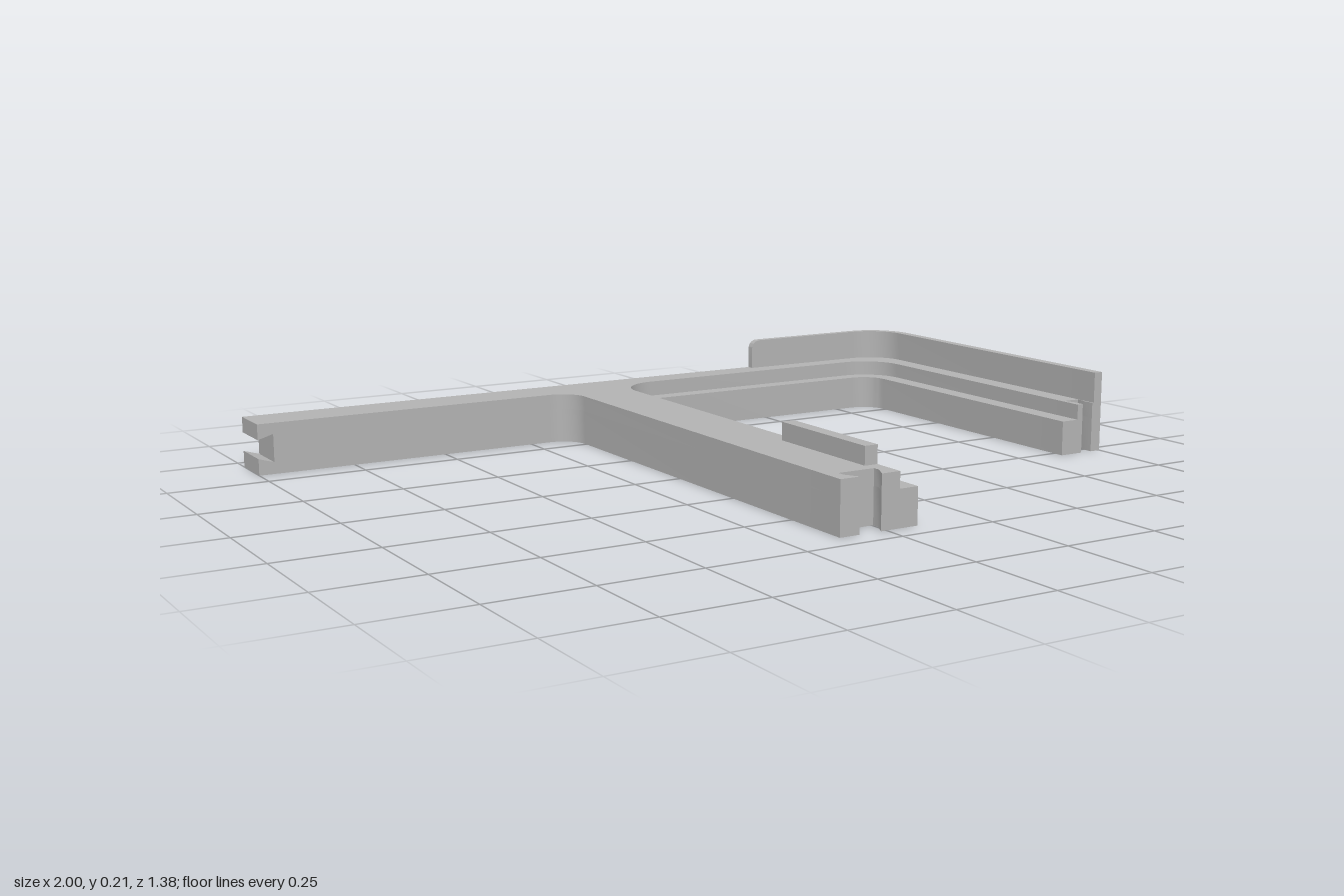
import * as THREE from 'three';
import { toCreasedNormals } from 'three/addons/utils/BufferGeometryUtils.js';

// Closed outline from [x, y, radius?] points; a radius rounds a right-angled corner.
function outline(points) {
  const n = points.length;
  const out = [];
  points.forEach(([x, y, r], i) => {
    const p = new THREE.Vector2(x, y);
    if (!r) return out.push(p);
    const [a, b] = [points[(i + n - 1) % n], points[(i + 1) % n]];
    const u = new THREE.Vector2(a[0] - x, a[1] - y).normalize();
    const v = new THREE.Vector2(b[0] - x, b[1] - y).normalize();
    for (let k = 0; k <= 10; k++) {
      const t = (k / 10) * Math.PI / 2;
      out.push(p.clone()
        .addScaledVector(u, r * (1 - Math.sin(t)))
        .addScaledVector(v, r * (1 - Math.cos(t))));
    }
  });
  return new THREE.Shape(out);
}

function extrude(shape, depth) {
  return new THREE.ExtrudeGeometry(shape, { depth, bevelEnabled: false, curveSegments: 16 });
}

// Plan points are [x, z, radius?], raised from y0 to y1.
function planLayer(points, y0, y1, hole) {
  const shape = outline(points.map(([x, z, r]) => [x, -z, r]));
  if (hole) shape.holes.push(hole);
  return toCreasedNormals(extrude(shape, y1 - y0).rotateX(-Math.PI / 2).translate(0, y0, 0), 0.5);
}

// Elevation points are [x, y, radius?], running from z0 to z1.
function elevation(points, z0, z1, hole) {
  const shape = outline(points);
  if (hole) shape.holes.push(hole);
  return toCreasedNormals(extrude(shape, z1 - z0).translate(0, 0, z0), 0.5);
}

// Plan of the frame; the opening edges change between the ledge and the top layer.
function framePlan(x1, x2, z, r) {
  return [
    [-0.95, -0.695],
    // recess for the nut plate
    [0.62, -0.695], [0.62, -0.645], [0.76, -0.645], [0.76, -0.695],
    [1, -0.695, 0.12], [1, 0.28],
    // short leg slot
    [0.97, 0.28], [0.97, 0.25], [0.975, 0.22], [0.93, 0.22], [0.937, 0.25], [0.937, 0.28],
    [x2, 0.28], [x2, z, r], [x1, z, r], [x1, 0.69],
    // long leg dovetail slot
    [-0.015, 0.69], [0.003, 0.655], [0.003, 0.636],
    [-0.093, 0.636], [-0.093, 0.655], [-0.073, 0.69],
    [-0.125, 0.69], [-0.125, -0.575, 0.07], [-0.95, -0.575],
  ];
}

export function createModel() {
  const model = new THREE.Group();
  const gray = new THREE.MeshStandardMaterial({ color: 0xb2b2b2 });
  gray.name = 'gray';
  const add = (name, geometry) => {
    const mesh = new THREE.Mesh(geometry, gray);
    mesh.name = name;
    model.add(mesh);
  };

  // Frame: wider lower layer forms the ledge, narrower layer sits above it
  const screwHole = new THREE.Path().absarc(0.925, 0.635, 0.018, 0, Math.PI * 2, true);
  add('lowerFrame', planLayer(framePlan(0.085, 0.87, -0.575, 0.065), 0, 0.09, screwHole));
  add('upperFrame', planLayer(framePlan(0.035, 0.92, -0.62, 0.11), 0.09, 0.13));

  // Bar end with a sideways dovetail slot
  add('barEnd', elevation([
    [-0.95, 0], [-0.95, 0.13], [-1, 0.13], [-1, 0.09], [-0.96, 0.102],
    [-0.96, 0.03], [-1, 0.042], [-1, 0],
  ], -0.695, -0.575));

  // Back plate with a hexagonal nut pocket
  const hexagon = new THREE.Path();
  for (let i = 0; i < 6; i++) {
    const a = Math.PI / 2 - i * Math.PI / 3;
    const p = [0.69 + 0.06 * Math.cos(a), 0.065 + 0.06 * Math.sin(a)];
    if (i) hexagon.lineTo(...p); else hexagon.moveTo(...p);
  }
  hexagon.closePath();
  add('nutPlate', elevation(
    [[0.62, 0], [0.76, 0], [0.76, 0.13], [0.62, 0.13]], -0.695, -0.645, hexagon));

  // Raised outer wall and its rounded end
  add('outerWall', planLayer([
    [0.56, -0.695], [1, -0.695, 0.12], [1, 0.28], [0.975, 0.28],
    [0.975, -0.675, 0.1], [0.56, -0.675],
  ], 0.13, 0.21));
  add('wallEnd', elevation(
    [[0.515, 0.13], [0.56, 0.13], [0.56, 0.21], [0.515, 0.21, 0.025]], -0.695, -0.675));

  // Locating rib on the long leg
  add('rib', new THREE.BoxGeometry(0.035, 0.045, 0.335).translate(0.0175, 0.1525, 0.4375));

  return model;
}
